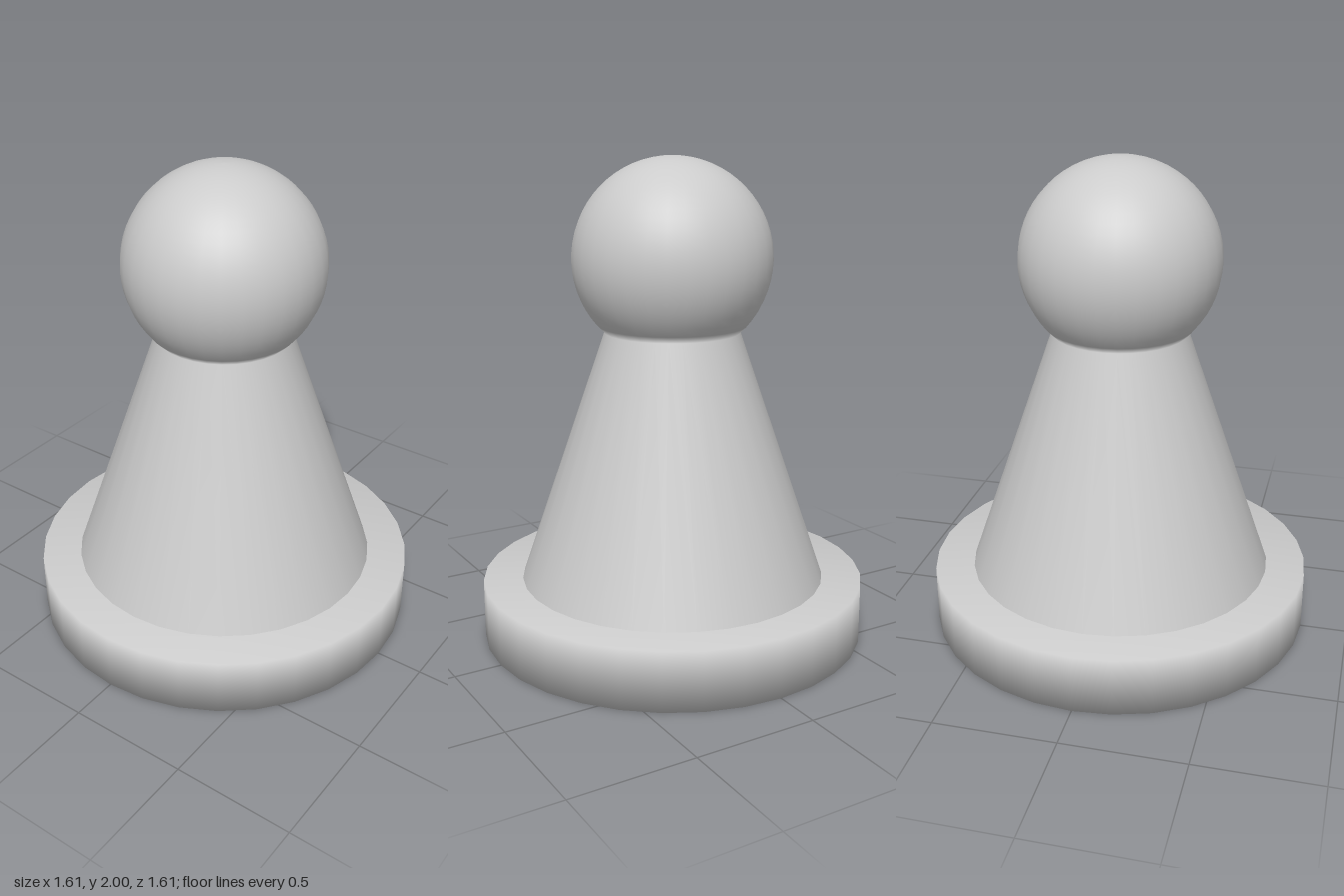
import * as THREE from 'three';

const SIDES = 32;

// Smooth solid of revolution from [radius, height] pairs, listed bottom to top
function turned(name, profile) {
  const points = profile.map(([r, y]) => new THREE.Vector2(r, y));
  const mesh = new THREE.Mesh(
    new THREE.LatheGeometry(points, SIDES),
    new THREE.MeshStandardMaterial({ color: 0xcccccc })
  );
  mesh.name = name;
  return mesh;
}

export function createModel() {
  const group = new THREE.Group();
  group.name = 'pawn';

  // Round foot with softly shaded rims
  group.add(turned('base', [[0, 0], [0.805, 0], [0.805, 0.245], [0, 0.245]]));

  // Tapered body running through the neck into the ball head
  const headRadius = 0.41, headY = 1.59, neckRadius = 0.28, rings = 24;
  const start = Math.PI - Math.asin(neckRadius / headRadius);
  const profile = [[0.64, 0.245]];
  for (let i = 0; i <= rings; i++) {
    const a = start * (1 - i / rings);
    profile.push([headRadius * Math.sin(a), headY + headRadius * Math.cos(a)]);
  }
  group.add(turned('bodyAndHead', profile));

  return group;
}
